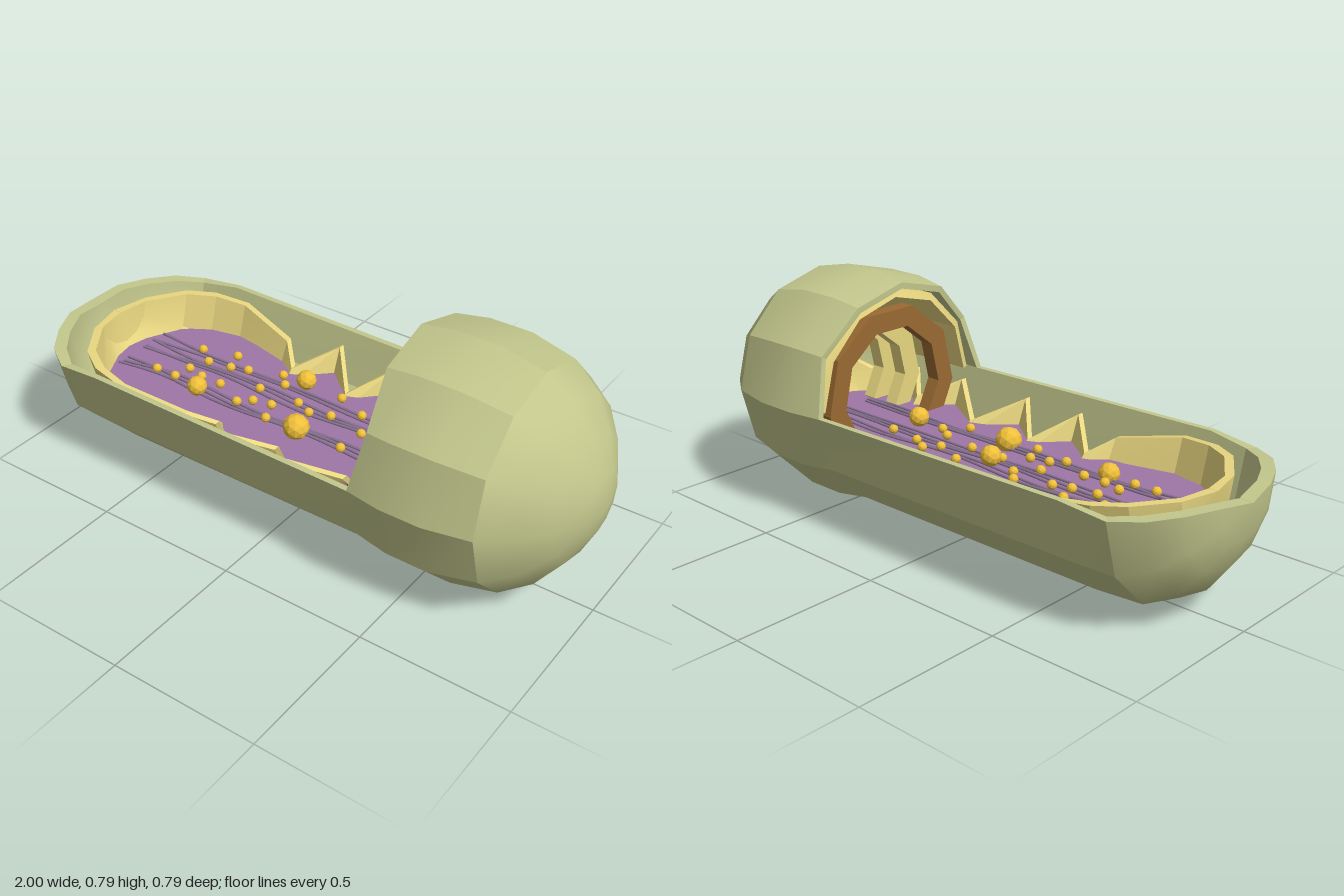
import * as THREE from 'three';
import { toCreasedNormals } from 'three/addons/utils/BufferGeometryUtils.js';

const AXIS = 0.395, PI = Math.PI;
const mat = (color, extra = {}) => new THREE.MeshStandardMaterial({ color, ...extra });

// Thick shell: matching outer and inner profiles swept about the long axis.
// Profile points are [x, half width, drop], drop being how far the cut rim lies below the axis.
function sweptShell(outer, inner, t0, t1, steps, { crease = 0.3, shift = () => 0 } = {}) {
  const n = outer.length, loop = [...outer, ...[...inner].reverse()], m = loop.length;
  const pos = [], idx = [];
  for (let j = 0; j <= steps; j++) {
    const f = j / steps, t = t0 + (t1 - t0) * f;
    loop.forEach(([x, w, drop = 0], i) => {
      const r = Math.hypot(w, drop), a = t + Math.atan2(drop, w) * (1 - 2 * f);
      const dx = i === 0 || i === m - 1 ? shift(t) : 0;
      pos.push(x + dx, AXIS + r * Math.sin(a), r * Math.cos(a));
    });
  }
  const quad = (a, b, c, d) => idx.push(a, b, c, a, c, d);
  for (let j = 0; j < steps; j++)
    for (let i = 0; i < m; i++) {
      const k = (i + 1) % m;
      quad(j * m + i, j * m + k, (j + 1) * m + k, (j + 1) * m + i);
    }
  // Cut rims at both ends of the sweep
  const e = steps * m;
  for (let i = 0; i < n - 1; i++) {
    const a = m - 1 - i, b = m - 2 - i;
    quad(i, a, b, i + 1);
    quad(e + i, e + i + 1, e + b, e + a);
  }
  const g = new THREE.BufferGeometry();
  g.setAttribute('position', new THREE.Float32BufferAttribute(pos, 3));
  g.setIndex(idx);
  return toCreasedNormals(g, crease);
}

export function createModel() {
  const group = new THREE.Group();
  const add = (name, geo, material) => {
    const mesh = new THREE.Mesh(geo, material);
    mesh.name = name;
    group.add(mesh);
    return mesh;
  };
  const green = mat(0xc3c78c), tan = mat(0xe8d680), brown = mat(0x9a6a32);
  const purple = mat(0xa077a6), strandMat = mat(0x8d7596), gold = mat(0xf0c03a, { flatShading: true });

  // Outer capsule: open trough with a rounded end, and a closed domed end
  const outer = [[-1, 0.001], [-0.98, 0.12, -0.014], [-0.935, 0.22, -0.01], [-0.87, 0.31, -0.004], [-0.78, 0.366, 0.003],
    [-0.62, 0.375, -0.014],
    [0.36, 0.375], [0.48, 0.394], [0.62, 0.394], [0.77, 0.362], [0.865, 0.295], [0.935, 0.2], [0.98, 0.1], [1, 0.001]];
  const lining = [[-0.955, 0.001], [-0.94, 0.11, -0.014], [-0.895, 0.205, -0.01], [-0.835, 0.285, -0.004],
    [-0.76, 0.338, 0.003], [-0.62, 0.354, -0.014],
    [0.36, 0.354], [0.48, 0.36], [0.62, 0.36], [0.75, 0.335], [0.835, 0.27], [0.9, 0.18], [0.94, 0.09], [0.96, 0.001]];
  const part = (a, b, ...rest) => sweptShell(outer.slice(a, b), lining.slice(a, b), ...rest);
  add('roundedEnd', part(0, 5, -PI, 0, 6, { crease: 1 }), green);
  add('outerMembraneLower', part(4, 10, -PI, 0, 6), green);
  add('outerMembraneUpper', part(6, 10, 0, PI, 6,
    { shift: t => 0.057 * Math.abs(Math.sin(2 * t) * Math.cos(t) ** 3) }), green);
  add('domedEnd', part(9, 14, 0, 2 * PI, 12, { crease: 1 }), green);

  // Inner membrane with zigzag folds whose rim dips at every inward fold
  const fold = [[-0.885, 0.001], [-0.855, 0.13], [-0.77, 0.255], [-0.68, 0.31, 0.005], [-0.55, 0.333, 0.015],
    [-0.33, 0.285, 0.06], [-0.26, 0.215, 0.11], [-0.14, 0.33, 0.04], [-0.03, 0.205, 0.12], [0.09, 0.33, 0.04],
    [0.23, 0.205, 0.12], [0.39, 0.33, 0.04], [0.5, 0.217, 0.1], [0.62, 0.33, 0.05], [0.74, 0.22, 0.05],
    [0.83, 0.16], [0.88, 0.001]];
  const foldInner = fold.map(([x, w, drop], i) => [
    i === 0 ? x + 0.03 : i < 4 ? x + 0.018 : i > 14 ? x - 0.03 : x, Math.max(w - 0.022, 0.001), drop]);
  add('innerMembraneLower', sweptShell(fold, foldInner, -PI, 0, 6), tan);
  const roof = [[0.4, 0.345], [0.62, 0.345], [0.75, 0.31], [0.84, 0.2], [0.9, 0.001]];
  add('innerMembraneUpper', sweptShell(roof, roof.map(([x, w]) => [x - 0.01, Math.max(w - 0.025, 0.001)]), 0, PI, 6), tan);

  // Arched folds inside the closed end
  [[0.41, 0.285, 0.215, brown], [0.53, 0.24, 0.17, tan], [0.64, 0.24, 0.17, tan]].forEach(([x, ro, ri, m], i) =>
    add('archedFold' + (i + 1),
      sweptShell([[x, ro], [x + 0.05, ro]], [[x, ri], [x + 0.05, ri]], -PI / 4, PI * 5 / 4, 7), m));

  // Flat matrix slab fitted inside the folded wall
  const edge = foldInner.slice(1, 16).map(([x, w, drop = 0]) => [x, w - 0.03 + 0.25 * drop]);
  const outline = [...edge, ...[...edge].reverse().map(([x, z]) => [x, -z])];
  const slab = new THREE.ExtrudeGeometry(new THREE.Shape(outline.map(p => new THREE.Vector2(...p))),
    { depth: 0.03, bevelEnabled: false });
  slab.rotateX(-PI / 2);
  add('matrix', slab, purple).position.y = 0.24;

  // Wavy strands lying on the matrix
  [-0.105, -0.09, -0.055, -0.04, -0.02, 0.065, 0.08, 0.095].forEach((z, k) => {
    const pts = [];
    for (let i = 0; i <= 14; i++) {
      const x = -0.77 + i * 0.1, start = Math.max(0, 1 - i / 2);
      pts.push(new THREE.Vector3(x, 0.28 + 0.004 * Math.sin(i + k),
        z + 0.007 * Math.sin(i * 0.9 + k * 0.5) + start * (k % 2 ? 0.02 : -0.015)));
    }
    add('strand' + (k + 1), new THREE.TubeGeometry(new THREE.CatmullRomCurve3(pts), 42, 0.005, 6), strandMat);
  });

  // Large and small granules
  const granule = (name, r) => ([x, z, y = 0.293], i) =>
    add(name + (i + 1), new THREE.IcosahedronGeometry(r, 1), gold).position.set(x, y, z);
  [[-0.44, 0.09, 0.297], [-0.135, -0.11, 0.33], [0.285, -0.005, 0.325]].forEach(granule('largeGranule', 0.034));
  [[-0.03, 0.09, 0.298]].forEach(granule('largestGranule', 0.044));
  [[-0.575, -0.105], [-0.45, -0.14], [-0.51, -0.055], [-0.425, -0.07], [-0.365, -0.09], [-0.25, -0.135],
    [-0.21, -0.09], [-0.265, -0.025], [-0.11, -0.03], [-0.01, -0.135], [0.02, -0.03], [-0.05, -0.005],
    [0.14, -0.135], [0.1, -0.09], [0.2, -0.1], [0.325, -0.085], [0.155, -0.005], [0.21, 0.03],
    [-0.535, 0.015], [-0.47, 0.03], [-0.39, 0.03], [-0.625, 0.08], [-0.545, 0.08], [-0.28, 0.08],
    [-0.24, 0.045], [-0.175, 0.03], [-0.145, 0.1], [0.145, 0.095]].forEach(granule('smallGranule', 0.016));

  return group;
}
